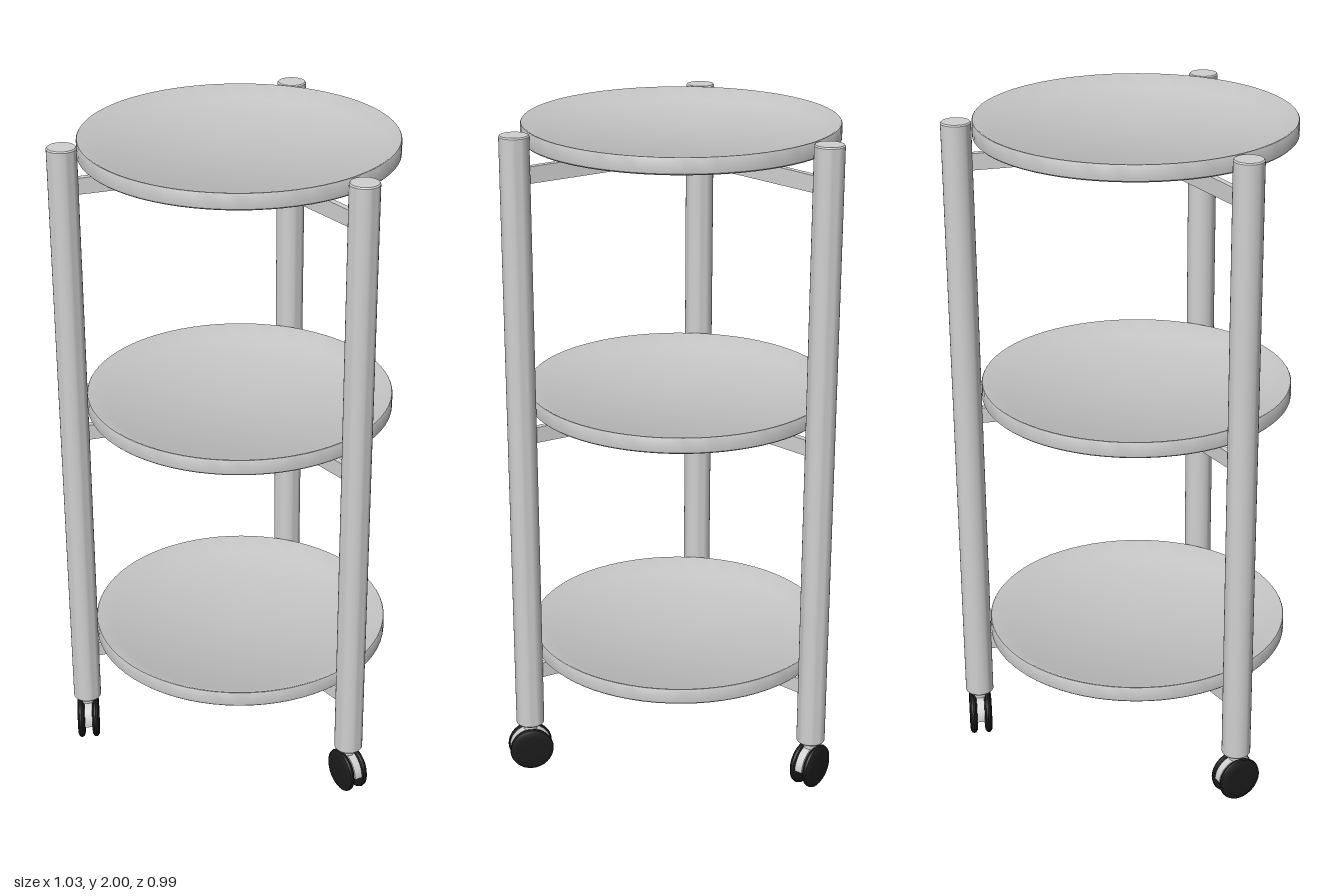
import * as THREE from 'three';
import { toCreasedNormals } from 'three/addons/utils/BufferGeometryUtils.js';

const CENTRE = [-0.06, -0.013]; // trolley axis in x, z
const POST_RING = 0.502;

const material = (name, color) => Object.assign(new THREE.MeshStandardMaterial({ color }), { name });

function lathe(points, segments) {
  const profile = points.map(([r, y]) => new THREE.Vector2(r, y));
  return toCreasedNormals(new THREE.LatheGeometry(profile, segments), 0.6);
}

// Flat side outline in x, y, given a thickness centred on z
function plate(shape, thickness) {
  return new THREE.ExtrudeGeometry(shape, { depth: thickness, bevelEnabled: false, curveSegments: 24 })
    .translate(0, 0, -thickness / 2);
}

export function createModel() {
  const model = new THREE.Group();
  model.name = 'roundTrolley';

  const trayGrey = material('tray grey', 0xc4c4c4);
  const frameGrey = material('frame grey', 0xd0d0d0);
  const wheelBlack = material('wheel black', 0x1c1c1c);

  const add = (parent, name, geometry, mat, x = 0, y = 0, z = 0) => {
    const mesh = new THREE.Mesh(geometry, mat);
    mesh.name = name;
    mesh.position.set(x, y, z);
    parent.add(mesh);
    return mesh;
  };

  // Shallow dish with a sloping inner rim
  const trayGeo = lathe([
    [0, 0], [0.454, 0], [0.458, 0.004], [0.458, 0.045], [0.456, 0.048],
    [0.452, 0.048], [0.402, 0.02], [0, 0.02],
  ], 72);
  [0.362, 1.157, 1.952].forEach((y) => add(model, 'tray', trayGeo, trayGrey, CENTRE[0], y, CENTRE[1]));

  // Support arm falling from the centre to its post
  const armGeo = plate(new THREE.Shape([
    [0, -0.03], [0.48, -0.053], [0.48, -0.005], [0, 0.022],
  ].map(([x, y]) => new THREE.Vector2(x, y))), 0.018);

  const postGeo = lathe([
    [0, 0.152], [0.04, 0.152], [0.043, 0.156], [0.043, 1.996], [0.04, 2], [0, 2],
  ], 32);

  // Caster pieces
  const wheelGeo = lathe([
    [0, -0.012], [0.046, -0.012], [0.058, -0.011], [0.066, -0.006], [0.068, 0],
    [0.066, 0.006], [0.058, 0.011], [0.046, 0.012], [0, 0.012],
  ], 32).rotateX(Math.PI / 2);
  const stemGeo = new THREE.CylinderGeometry(0.02, 0.02, 0.035, 20);
  const axleGeo = new THREE.CylinderGeometry(0.016, 0.016, 0.05, 16).rotateX(Math.PI / 2);
  const hoodShape = new THREE.Shape();
  hoodShape.absarc(0, 0, 0.064, 0, Math.PI, false);
  const hoodGeo = toCreasedNormals(plate(hoodShape, 0.024), 0.6);

  // Each post: its bearing around the axis and the way its caster has turned
  [[-2, 10], [118, 35], [238, -32]].forEach(([bearing, turn]) => {
    const a = THREE.MathUtils.degToRad(bearing);
    const x = CENTRE[0] + POST_RING * Math.cos(a);
    const z = CENTRE[1] + POST_RING * Math.sin(a);
    add(model, 'post', postGeo, frameGrey, x, 0, z);

    [0.356, 1.134, 1.912].forEach((y) => {
      add(model, 'supportArm', armGeo, frameGrey, CENTRE[0], y, CENTRE[1]).rotation.y = -a;
    });

    const caster = new THREE.Group();
    caster.name = 'caster';
    caster.position.set(x, 0.068, z);
    caster.rotation.y = -THREE.MathUtils.degToRad(turn);
    model.add(caster);
    add(caster, 'casterStem', stemGeo, frameGrey, 0, 0.072, 0);
    add(caster, 'casterHood', hoodGeo, frameGrey);
    add(caster, 'casterAxle', axleGeo, wheelBlack);
    for (const side of [-1, 1]) add(caster, 'casterWheel', wheelGeo, wheelBlack, 0, 0, side * 0.023);
  });

  return model;
}
